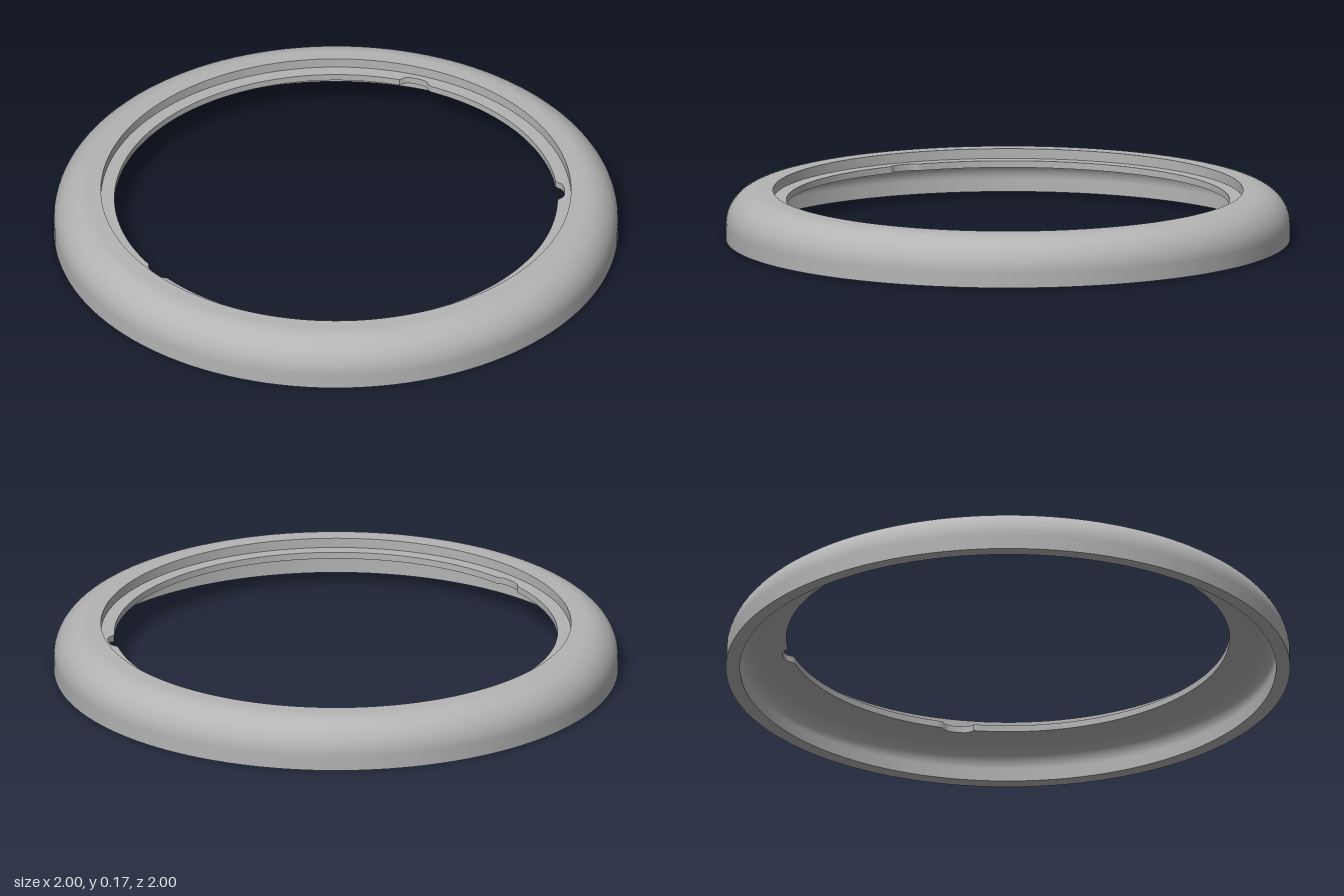
import * as THREE from 'three';
import { toCreasedNormals } from 'three/addons/utils/BufferGeometryUtils.js';

const SEGMENTS = 128;
const TOP = 0.175, LEDGE_TOP = 0.14, LEDGE_BOTTOM = 0.116;
const LIP_R = 0.833, HOLE_R = 0.785;

// Quarter-ellipse points from angle a to b (degrees)
function arc(cx, cy, rx, ry, a, b, n = 14) {
  return Array.from({ length: n + 1 }, (_, i) => {
    const t = THREE.MathUtils.degToRad(a + (b - a) * i / n);
    return [cx + rx * Math.cos(t), cy + ry * Math.sin(t)];
  });
}

// Rounded notches in the ledge: angle, depth, half width
const notches = [
  [Math.PI, 0.015, 0.07],
  [0.575, 0.026, 0.072],
  [-0.575, 0.026, 0.072],
];

function holeRadius(angle) {
  let r = HOLE_R;
  for (const [centre, depth, half] of notches) {
    const d = Math.atan2(Math.sin(angle - centre), Math.cos(angle - centre)) / half;
    if (Math.abs(d) < 1) r += depth * (1 - d ** 4);
  }
  return r;
}

export function createModel() {
  const group = new THREE.Group();
  group.name = 'bezelRing';
  const grey = new THREE.MeshStandardMaterial({ color: 0xb4b4b4 });
  grey.name = 'grey';

  const add = (name, geometry) => {
    const mesh = new THREE.Mesh(geometry, grey);
    mesh.name = name;
    group.add(mesh);
  };
  const turn = (name, points) => add(name,
    new THREE.LatheGeometry(points.map(([r, y]) => new THREE.Vector2(r, y)), SEGMENTS));

  // Hollow rim, one surface between each pair of sharp edges
  turn('outerShell', [[1, 0], ...arc(0.877, 0.055, 0.123, 0.12, 0, 90), [LIP_R, TOP]]);
  turn('innerLip', [[LIP_R, TOP], [LIP_R, LEDGE_TOP]]);
  turn('innerShell', [[LIP_R, LEDGE_BOTTOM], ...arc(0.877, 0.046, 0.073, 0.07, 90, 0), [0.95, 0]]);
  turn('bottomRim', [[0.95, 0], [1, 0]]);

  // Recessed ledge with three notches in its inner edge
  const ledge = new THREE.Shape();
  ledge.absarc(0, 0, LIP_R, 0, Math.PI * 2, false);
  const hole = Array.from({ length: 360 }, (_, i) => {
    const a = i / 360 * Math.PI * 2, r = holeRadius(a);
    return new THREE.Vector2(r * Math.cos(a), r * Math.sin(a));
  });
  ledge.holes.push(new THREE.Path(hole));
  const plate = new THREE.ExtrudeGeometry(ledge, {
    depth: LEDGE_TOP - LEDGE_BOTTOM, bevelEnabled: false, curveSegments: SEGMENTS,
  });
  plate.rotateX(-Math.PI / 2).translate(0, LEDGE_BOTTOM, 0);
  add('notchedLedge', toCreasedNormals(plate, 0.6));

  return group;
}
